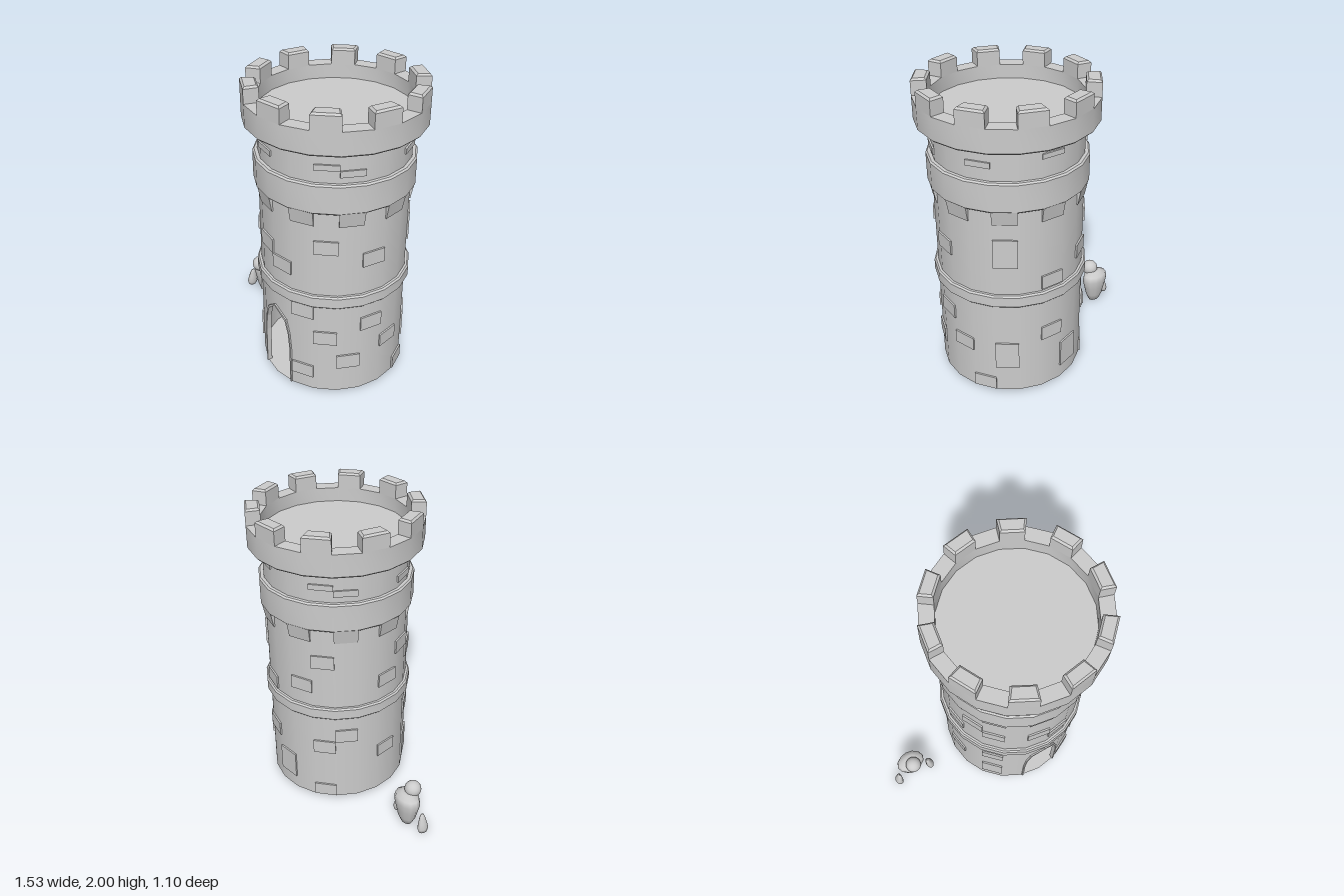
import * as THREE from 'three';
import { toCreasedNormals } from 'three/addons/utils/BufferGeometryUtils.js';

const SIDES = 20, STEP = (Math.PI * 2) / SIDES, R = 0.465;
const solid = new THREE.MeshStandardMaterial({ color: 0xcccccc });
const thin = new THREE.MeshStandardMaterial({ color: 0xcccccc, side: THREE.DoubleSide });

function add(parent, name, geometry, material = solid) {
  const mesh = new THREE.Mesh(geometry, material);
  mesh.name = name;
  parent.add(mesh);
  return mesh;
}

// Turned ring with the tower's number of sides; [radius, y] runs up the outside
function turned(points) {
  const profile = points.map(([r, y]) => new THREE.Vector2(r, y));
  return toCreasedNormals(new THREE.LatheGeometry(profile, SIDES), 0.5);
}

// Band with narrow chamfers round the shaft
function band(r, y0, y1, inner = 0.44) {
  const c = 0.01;
  return turned([[inner, y0], [r - c, y0], [r, y0 + c], [r, y1 - c], [r - c, y1], [inner, y1]]);
}

// Block filling one side of the tower; side 0 starts at +x and turns to +z
function sideBlock(side, r0, r1, y0, y1, bevel = 0) {
  const a = side * STEP, b = a + STEP;
  const at = (r, t) => new THREE.Vector2(r * Math.cos(t), -r * Math.sin(t));
  const shape = new THREE.Shape([at(r0, a), at(r1, a), at(r1, b), at(r0, b)]);
  const geo = new THREE.ExtrudeGeometry(shape, {
    depth: y1 - y0 - 2 * bevel, bevelEnabled: bevel > 0,
    bevelSize: bevel, bevelThickness: bevel, bevelOffset: -bevel, bevelSegments: 1,
  });
  return geo.rotateX(-Math.PI / 2).translate(0, y0 + bevel, 0);
}

// Half of the pointed door arch, from the foot to the peak
const ARCH = [[0.137, 0.03], [0.134, 0.3], [0.122, 0.42], [0.095, 0.52], [0, 0.595]];

function buildShaft(tower) {
  const y0 = 0.03, yMid = 0.74, yTop = 1.82;
  const lower = new THREE.CylinderGeometry(R, R, yMid - y0, SIDES - 2, 1, true, STEP, Math.PI * 2 - 2 * STEP);
  add(tower, 'lowerWall', lower.translate(0, (y0 + yMid) / 2, 0), thin);
  const upper = new THREE.CylinderGeometry(R, R, yTop - yMid, SIDES, 1, true);
  add(tower, 'upperWall', upper.translate(0, (yMid + yTop) / 2, 0), thin);
  add(tower, 'groundFloor', new THREE.CircleGeometry(R, SIDES).rotateX(-Math.PI / 2).translate(0, y0, 0), thin);

  // Two front sides cut away to leave the doorway
  const edgeX = R * Math.sin(STEP), drop = (R - R * Math.cos(STEP)) / edgeX;
  for (const s of [-1, 1]) {
    const points = [[edgeX, y0], [edgeX, yMid], [0, yMid], ...ARCH.slice().reverse()];
    const geo = new THREE.ShapeGeometry(new THREE.Shape(points.map(([x, y]) => new THREE.Vector2(s * x, y))));
    const p = geo.attributes.position, n = geo.attributes.normal;
    for (let i = 0; i < p.count; i++) {
      const x = p.getX(i), z = R - drop * Math.abs(x), len = Math.hypot(x, z);
      p.setZ(i, z);
      n.setXYZ(i, x / len, 0, z / len);
    }
    add(tower, 'doorwayWall', geo, thin);
  }

  // Slim door surround, folded to follow the two sides
  const outline = (k) => ARCH.map(([x, y], i) => [x - (i < 4 ? k : 0), y - (i > 2 ? k * 1.3 : 0)]);
  const arch = (k) => [...outline(k), ...outline(k).slice(0, 4).reverse().map(([x, y]) => [-x, y])];
  const loop = [...arch(0), ...arch(0.01).reverse()].map(([x, y]) => new THREE.Vector2(x, y));
  const frame = new THREE.ExtrudeGeometry(new THREE.Shape(loop), { depth: 0.035, bevelEnabled: false });
  const fp = frame.attributes.position;
  for (let i = 0; i < fp.count; i++) fp.setZ(i, fp.getZ(i) + R - 0.025 - drop * Math.abs(fp.getX(i)));
  frame.computeVertexNormals();
  add(tower, 'doorFrame', frame);
}

function buildBricks(tower) {
  // [side, bottom, top]
  const bricks = [
    [5, 1.63, 1.665], [2, 1.63, 1.665], [1, 1.59, 1.63], [8, 1.59, 1.63], [18, 1.63, 1.665],
    [15, 1.67, 1.7], [12, 1.63, 1.665], [11, 1.59, 1.63],
    [8, 1.08, 1.17], [2, 1.08, 1.17], [7, 0.98, 1.075], [5, 0.98, 1.075], [0, 0.98, 1.075],
    [4, 0.89, 0.98], [9, 0.89, 0.98], [17, 0.98, 1.17], [15, 0.8, 0.89], [12, 1.08, 1.17], [13, 0.89, 0.98],
    [3, 0.6, 0.7], [7, 0.505, 0.6], [0, 0.505, 0.6], [2, 0.41, 0.505], [15, 0.41, 0.505],
    [9, 0.32, 0.41], [19, 0.32, 0.41], [17, 0.22, 0.41], [1, 0.22, 0.32], [7, 0.13, 0.32],
    [3, 0.13, 0.22], [18, 0.04, 0.13], [14, 0.13, 0.32], [12, 0.41, 0.505], [11, 0.505, 0.6], [12, 0.04, 0.13],
  ];
  for (const [side, y0, y1] of bricks) add(tower, 'brick', sideBlock(side, 0.455, 0.476, y0, y1));
}

function buildTop(tower) {
  add(tower, 'lowerBand', band(0.49, 0.7, 0.785));
  add(tower, 'upperBand', band(0.495, 1.36, 1.55));
  // Tapered supports under the upper band
  for (let side = 1; side < SIDES; side += 2) {
    const geo = sideBlock(side, 0.445, 0.49, 1.27, 1.365);
    const p = geo.attributes.position;
    for (let i = 0; i < p.count; i++) {
      const x = p.getX(i), z = p.getZ(i), r = Math.hypot(x, z);
      if (r > 0.46 && p.getY(i) < 1.3) {
        p.setX(i, (x * 0.472) / r);
        p.setZ(i, (z * 0.472) / r);
      }
    }
    geo.computeVertexNormals();
    add(tower, 'corbel', geo);
  }
  // Parapet wall, roof floor and merlons on every second side
  add(tower, 'parapet', turned([[0.45, 1.75], [0.542, 1.75], [0.552, 1.76], [0.552, 1.9], [0.46, 1.9], [0.46, 1.8]]));
  add(tower, 'roofFloor', new THREE.CircleGeometry(0.465, SIDES).rotateX(-Math.PI / 2).translate(0, 1.81, 0), thin);
  for (let side = 0; side < SIDES; side += 2) {
    add(tower, 'merlon', sideBlock(side, 0.46, 0.552, 1.885, 2, 0.012));
  }
}

function buildFigure() {
  const figure = new THREE.Group();
  figure.name = 'figure';
  add(figure, 'head', new THREE.SphereGeometry(0.055, 24, 16).translate(0.005, 0.27, 0.033));
  const lathe = (pts, n) => new THREE.LatheGeometry(pts.map(([r, y]) => new THREE.Vector2(r, y)), n);
  const torso = lathe([[0, 0.008], [0.045, 0.018], [0.07, 0.07], [0.088, 0.14], [0.103, 0.2], [0.092, 0.24], [0.045, 0.258], [0, 0.26]], 12);
  add(figure, 'torso', torso.scale(1, 1, 0.72)).position.z = -0.015;
  // Drop-shaped arms hanging clear of the torso
  for (const s of [-1, 1]) {
    const arm = lathe([[0, 0], [0.025, 0.004], [0.032, 0.03], [0.026, 0.07], [0.017, 0.115], [0.009, 0.138], [0, 0.143]], 10);
    const mesh = add(figure, 'arm', arm.scale(0.9, 1, 1.25));
    mesh.position.set(s * 0.134, 0.003, 0.02);
    mesh.rotation.z = s * 0.13;
  }
  figure.position.x = -0.61;
  return figure;
}

export function createModel() {
  const model = new THREE.Group();
  model.name = 'castleTower';
  const tower = new THREE.Group();
  tower.name = 'tower';
  tower.position.x = 0.215;
  buildShaft(tower);
  buildBricks(tower);
  buildTop(tower);
  model.add(tower, buildFigure());
  return model;
}
